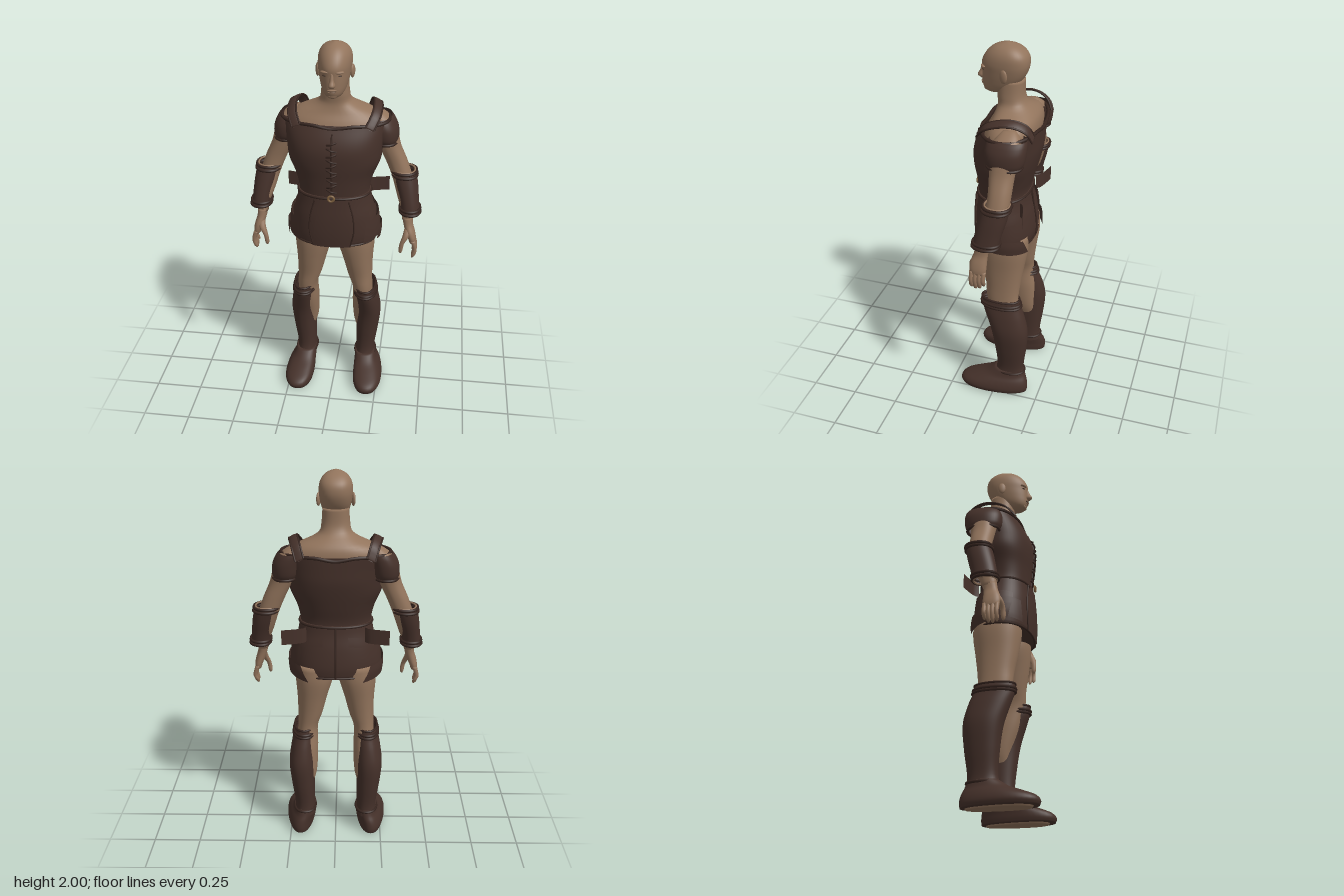
import * as THREE from 'three';

const skin = new THREE.MeshStandardMaterial({ color: 0x92745c, side: THREE.DoubleSide });
skin.name = 'skin';
const leather = new THREE.MeshStandardMaterial({ color: 0x45312a, side: THREE.DoubleSide });
leather.name = 'leather';
const trim = new THREE.MeshStandardMaterial({ color: 0x36251f });
trim.name = 'darkTrim';
const brass = new THREE.MeshStandardMaterial({ color: 0x80623f });
brass.name = 'brass';
const eyeDark = new THREE.MeshStandardMaterial({ color: 0x4a382d });
eyeDark.name = 'eyeDark';

// Smooth body described by rows [y, centreX, halfWidth, zFront, zBack], rising in y.
// Returns a function giving the surface point at a height and angle (0 = +x, PI/2 = front).
function body(rows, side = 1, taper = 0) {
  const slope = (i, k) => {
    const a = rows[Math.max(i - 1, 0)], b = rows[Math.min(i + 1, rows.length - 1)];
    return (b[k] - a[k]) / (b[0] - a[0]);
  };
  const at = (y, angle, out = 0) => {
    let i = 0;
    while (i < rows.length - 2 && y > rows[i + 1][0]) i++;
    const p = rows[i], q = rows[i + 1], h = q[0] - p[0];
    const t = Math.min(Math.max((y - p[0]) / h, 0), 1), t2 = t * t, t3 = t2 * t;
    const [cx, hw, zf, zb] = [1, 2, 3, 4].map(k =>
      (2 * t3 - 3 * t2 + 1) * p[k] + (t3 - 2 * t2 + t) * h * slope(i, k) +
      (3 * t2 - 2 * t3) * q[k] + (t3 - t2) * h * slope(i + 1, k));
    const round = v => Math.sign(v) * Math.abs(v) ** 0.9;
    const c = round(Math.cos(angle)), s = round(Math.sin(angle));
    return new THREE.Vector3(cx * side + (hw + out) * c * (1 + taper * s), y,
      (zf + zb) / 2 + ((zf - zb) / 2 + out) * s);
  };
  at.rows = rows;
  return at;
}

// Grid surface from a rule; closed grids wrap around in u, caps close both ends.
function grid(fn, nu, nv, closed = false, caps = false) {
  const pos = [], idx = [], cols = closed ? nu : nu + 1;
  for (let j = 0; j <= nv; j++)
    for (let i = 0; i < cols; i++) pos.push(...fn(i / nu, j / nv).toArray());
  for (let j = 0; j < nv; j++)
    for (let i = 0; i < nu; i++) {
      const k = (i + 1) % cols, a = j * cols + i, b = j * cols + k;
      idx.push(a, a + cols, b, b, a + cols, b + cols);
    }
  if (caps) for (const j of [0, nv]) {
    const mid = new THREE.Vector3(), n = pos.length / 3;
    for (let i = 0; i < cols; i++) mid.add(fn(i / nu, j / nv));
    pos.push(...mid.divideScalar(cols).toArray());
    for (let i = 0; i < cols; i++) {
      const a = j * cols + i, b = j * cols + (i + 1) % cols;
      idx.push(...(j ? [a, n, b] : [a, b, n]));
    }
  }
  const g = new THREE.BufferGeometry();
  g.setAttribute('position', new THREE.Float32BufferAttribute(pos, 3));
  g.setIndex(idx);
  g.computeVertexNormals();
  return g;
}

export function createModel() {
  const model = new THREE.Group();
  model.name = 'leatherCladFigure';
  const V = (x, y, z) => new THREE.Vector3(x, y, z);
  const add = (name, geo, mat) => {
    const m = new THREE.Mesh(geo, mat);
    m.name = name;
    model.add(m);
    return m;
  };
  const loft = (name, at, mat, caps = true, nu = 40) => {
    const y0 = at.rows[0][0], y1 = at.rows[at.rows.length - 1][0];
    const n = (at.rows.length - 1) * 4;
    return add(name, grid((u, v) => at(y0 + (y1 - y0) * v, u * Math.PI * 2), nu, n, true, caps), mat);
  };
  const tube = (name, pts, r, mat, closed = false) =>
    add(name, new THREE.TubeGeometry(new THREE.CatmullRomCurve3(pts, closed), pts.length * 4, r, 7, closed), mat);
  const rim = (name, at, y, r, out = 0, mat = trim, dip = () => 0) => tube(name,
    Array.from({ length: 20 }, (_, i) => {
      const p = at(y, i / 20 * Math.PI * 2, out);
      p.y += dip(p);
      return p;
    }), r, mat, true);
  const blob = (name, x, y, z, sx, sy, sz, mat) => {
    const m = add(name, new THREE.SphereGeometry(1, 16, 12), mat);
    m.position.set(x, y, z);
    m.scale.set(sx, sy, sz);
    return m;
  };

  // Head and face
  loft('head', body([
    [1.747, 0, 0.025, 0.09, 0.03], [1.757, 0, 0.042, 0.105, 0], [1.78, 0, 0.058, 0.115, -0.045],
    [1.82, 0, 0.071, 0.118, -0.085], [1.86, 0, 0.079, 0.118, -0.108], [1.9, 0, 0.083, 0.118, -0.118],
    [1.94, 0, 0.079, 0.1, -0.112], [1.97, 0, 0.063, 0.073, -0.087], [1.99, 0, 0.037, 0.04, -0.052],
    [2, 0, 0.006, 0.002, -0.012]], 1, -0.14), skin);
  loft('nose', body([[1.808, 0, 0.012, 0.128, 0.09], [1.82, 0, 0.018, 0.144, 0.09],
    [1.845, 0, 0.011, 0.132, 0.09], [1.88, 0, 0.009, 0.119, 0.09]]), skin, true, 16);
  blob('upperLip', 0, 1.795, 0.112, 0.024, 0.005, 0.011, skin);
  blob('lowerLip', 0, 1.784, 0.11, 0.021, 0.006, 0.011, skin);
  blob('mouthLine', 0, 1.7895, 0.114, 0.022, 0.002, 0.006, eyeDark);
  blob('chin', 0, 1.762, 0.096, 0.024, 0.014, 0.014, skin);

  // Neck and bare shoulders
  loft('neckAndChest', body([
    [1.5, 0, 0.2, 0.08, -0.16], [1.57, 0, 0.245, 0.085, -0.175], [1.61, 0, 0.235, 0.07, -0.175],
    [1.645, 0, 0.19, 0.05, -0.165], [1.675, 0, 0.12, 0.04, -0.14], [1.7, 0, 0.083, 0.036, -0.115],
    [1.74, 0, 0.072, 0.04, -0.098], [1.82, 0, 0.066, 0.04, -0.095]]), skin);

  // Tunic with neckline
  const tunic = body([
    [1.2, 0, 0.184, 0.128, -0.13], [1.25, 0, 0.185, 0.132, -0.133], [1.32, 0, 0.202, 0.138, -0.152],
    [1.4, 0, 0.235, 0.147, -0.173], [1.47, 0, 0.245, 0.148, -0.187], [1.53, 0, 0.255, 0.132, -0.19],
    [1.605, 0, 0.272, 0.095, -0.192]]);
  loft('tunic', tunic, leather, false, 56);
  rim('neckline', tunic, 1.603, 0.009, 0.002, trim, p => -0.014 * Math.exp(-((p.x / 0.05) ** 2)));

  // Front lacing and clasp
  for (let i = 0; i < 10; i++) {
    const y = 1.265 + i * 0.029, z = tunic(y, Math.PI / 2).z, d = i % 2 ? 0.008 : -0.008;
    tube('lace', [V(-0.025, y - d, z), V(0, y, z + 0.01), V(0.025, y + d, z)], 0.005, trim);
  }
  tube('laceSeam', [1.25, 1.33, 1.41, 1.49, 1.57].map(y => V(0, y, tunic(y, Math.PI / 2).z)), 0.005, trim);
  const clasp = add('clasp', new THREE.TorusGeometry(0.015, 0.006, 8, 16), brass);
  clasp.position.set(0, 1.232, 0.152);

  // Skirt with waist seam, hem and overlapping panels
  const skirt = body([
    [0.945, 0, 0.218, 0.136, -0.16], [1, 0, 0.223, 0.142, -0.166], [1.1, 0, 0.213, 0.143, -0.156],
    [1.18, 0, 0.195, 0.137, -0.14], [1.23, 0, 0.188, 0.134, -0.135]]);
  loft('skirt', skirt, leather, true, 56);
  rim('waistSeam', skirt, 1.222, 0.007);
  rim('hem', skirt, 0.948, 0.006);
  const panel = (name, side, y0, y1, low, high, out, drop = 0) => add(name, grid((u, v) => {
    const a = THREE.MathUtils.lerp(low[0] + (low[1] - low[0]) * u, high[0] + (high[1] - high[0]) * u, v);
    const p = skirt(y0 + (y1 - y0) * v, a, out);
    p.x *= side;
    p.y += drop * (u - 0.5);
    return p;
  }, 16, 8), leather);
  const F = Math.PI / 2;
  panel('frontPanel', 1, 0.942, 1.215, [F - 0.4, F + 0.4], [F - 0.3, F + 0.3], 0.009);
  for (const s of [-1, 1])
    tube('panelSeam', [0.945, 1.03, 1.12, 1.21].map((y, i) => skirt(y, F + s * (0.4 + 0.1 * Math.sin(i)), 0.008)), 0.004, trim);
  tube('backSeam', [0.95, 1.04, 1.13, 1.22].map(y => skirt(y, -F, 0.002)), 0.005, trim);

  for (const s of [-1, 1]) {
    const side = s > 0 ? 'left' : 'right';
    const part = (rows, taper) => body(rows, s, taper);

    // Eyes, brows and ears
    blob(side + 'Eye', s * 0.032, 1.865, 0.101, 0.015, 0.005, 0.008, eyeDark);
    const brow = blob(side + 'Brow', s * 0.034, 1.882, 0.102, 0.025, 0.007, 0.014, skin);
    brow.rotation.y = s * 0.35;
    const ear = blob(side + 'Ear', s * 0.086, 1.855, -0.012, 0.01, 0.034, 0.021, skin);
    ear.rotation.y = -s * 0.3;

    // Arm and hand
    loft(side + 'Arm', part([
      [1.065, 0.385, 0.028, 0.038, -0.035], [1.1, 0.384, 0.03, 0.036, -0.05], [1.18, 0.37, 0.045, 0.02, -0.09],
      [1.28, 0.345, 0.052, -0.005, -0.118], [1.36, 0.316, 0.055, -0.01, -0.125], [1.45, 0.276, 0.057, -0.004, -0.13],
      [1.53, 0.25, 0.062, 0.002, -0.142], [1.6, 0.222, 0.055, -0.012, -0.142], [1.64, 0.2, 0.02, -0.05, -0.11]]), skin);
    loft(side + 'Palm', part([
      [0.94, 0.417, 0.017, 0.056, -0.022], [0.965, 0.413, 0.021, 0.062, -0.026], [1, 0.402, 0.025, 0.06, -0.026],
      [1.04, 0.39, 0.025, 0.046, -0.028], [1.08, 0.385, 0.028, 0.038, -0.035]]), skin, true, 24);
    for (let i = 0; i < 4; i++) {
      const z = 0.049 - i * 0.021, tip = 0.848 + [0.008, 0, 0.005, 0.022][i];
      loft(side + 'Finger', part([
        [tip, 0.418, 0.004, z + 0.004, z - 0.004], [tip + 0.012, 0.424, 0.01, z + 0.01, z - 0.01],
        [0.905, 0.432, 0.011, z + 0.011, z - 0.011], [0.955, 0.419, 0.013, z + 0.012, z - 0.012]]), skin, true, 12);
    }
    loft(side + 'Thumb', part([
      [0.888, 0.357, 0.004, 0.07, 0.06], [0.9, 0.357, 0.01, 0.076, 0.054], [0.945, 0.364, 0.012, 0.077, 0.05],
      [0.985, 0.382, 0.017, 0.07, 0.032], [1.02, 0.388, 0.016, 0.05, 0.015]]), skin, true, 14);

    // Sleeve and shoulder strap
    const sleeve = part([
      [1.475, 0.255, 0.058, 0.012, -0.155], [1.5, 0.252, 0.068, 0.026, -0.168], [1.55, 0.245, 0.071, 0.03, -0.176],
      [1.59, 0.232, 0.066, 0.022, -0.176], [1.61, 0.222, 0.06, 0.01, -0.172]]);
    loft(side + 'Sleeve', sleeve, leather, false);
    rim(side + 'SleeveHem', sleeve, 1.478, 0.008);
    const path = new THREE.CatmullRomCurve3([V(0.183, 1.595, 0.088), V(0.208, 1.645, 0.04), V(0.214, 1.675, -0.04),
      V(0.205, 1.675, -0.11), V(0.19, 1.645, -0.165), V(0.175, 1.595, -0.19)]);
    const edge = (v, w, lift = 0) => path.getPoint(v).add(V(w * 0.02, lift - w * 0.009, 0)).multiply(V(s, 1, 1));
    add(side + 'Strap', grid((u, v) => {
      const a = u * Math.PI * 2;
      return edge(v, Math.cos(a), Math.sin(a) * 0.007);
    }, 12, 20, true, true), leather);
    for (const w of [-1, 1])
      tube(side + 'StrapEdge', [0, 0.2, 0.4, 0.6, 0.8, 1].map(v => edge(v, w)), 0.005, trim);

    // Bracer
    const bracer = part([[1.1, 0.396, 0.05, 0.047, -0.083], [1.16, 0.388, 0.051, 0.037, -0.096],
      [1.24, 0.372, 0.058, 0.02, -0.118], [1.315, 0.354, 0.062, 0.001, -0.133]]);
    loft(side + 'Bracer', bracer, leather, false);
    for (const y of [1.103, 1.122, 1.295, 1.314]) rim(side + 'BracerRim', bracer, y, 0.008, 0.002);
    rim(side + 'BracerLining', bracer, 1.319, 0.005, -0.006, skin);
    rim(side + 'BracerLining', bracer, 1.098, 0.005, -0.006, skin);

    // Hip panels and loose belt end
    panel('hipPanel', s, 0.98, 1.1, [-0.75, 0.85], [-0.75, 0.75], 0.018, -0.04);
    panel('hipFlap', s, 0.945, 1.03, [-1.0, 0.35], [-0.8, 0.45], 0.028, 0.035);
    panel('hipBand', s, 1.1, 1.15, [-1.3, 0.5], [-1.3, 0.5], 0.008, -0.05);
    add('beltEnd', grid((u, v) => V(s * (0.15 + 0.125 * u), 1.14 + 0.08 * v, -0.12 - 0.048 * Math.sqrt(u)), 8, 2), leather);

    // Leg
    loft(side + 'Leg', part([
      [0.28, 0.172, 0.045, -0.02, -0.14], [0.36, 0.16, 0.056, -0.015, -0.14], [0.5, 0.154, 0.057, 0.03, -0.135],
      [0.62, 0.152, 0.054, 0.058, -0.116], [0.7, 0.138, 0.066, 0.066, -0.122], [0.8, 0.126, 0.08, 0.084, -0.136],
      [0.92, 0.113, 0.101, 0.1, -0.154], [1, 0.11, 0.1, 0.1, -0.15]]), skin);

    // Boot: shaft, foot, sole and bands
    const shaft = part([
      [0.1, 0.172, 0.057, 0.015, -0.16], [0.16, 0.171, 0.053, -0.005, -0.155], [0.3, 0.18, 0.063, 0.005, -0.172],
      [0.42, 0.185, 0.069, 0.025, -0.179], [0.52, 0.179, 0.063, 0.058, -0.157], [0.58, 0.172, 0.057, 0.078, -0.135],
      [0.625, 0.171, 0.053, 0.08, -0.127]]);
    loft(side + 'BootShaft', shaft, leather, false);
    for (const y of [0.13, 0.582, 0.597]) rim(side + 'BootBand', shaft, y, 0.008, 0.002);
    rim(side + 'BootTop', shaft, 0.622, 0.006);
    loft(side + 'BootFoot', part([
      [0.008, 0.196, 0.074, 0.198, -0.183], [0.03, 0.197, 0.08, 0.205, -0.186], [0.055, 0.194, 0.078, 0.185, -0.184],
      [0.08, 0.187, 0.071, 0.125, -0.178], [0.105, 0.178, 0.062, 0.06, -0.168], [0.14, 0.172, 0.055, 0.005, -0.157]],
      0.16), leather);
    loft(side + 'Sole', part([[0, 0.196, 0.05, 0.165, -0.155], [0.01, 0.196, 0.055, 0.172, -0.162]], 0.16), skin);
  }
  return model;
}
